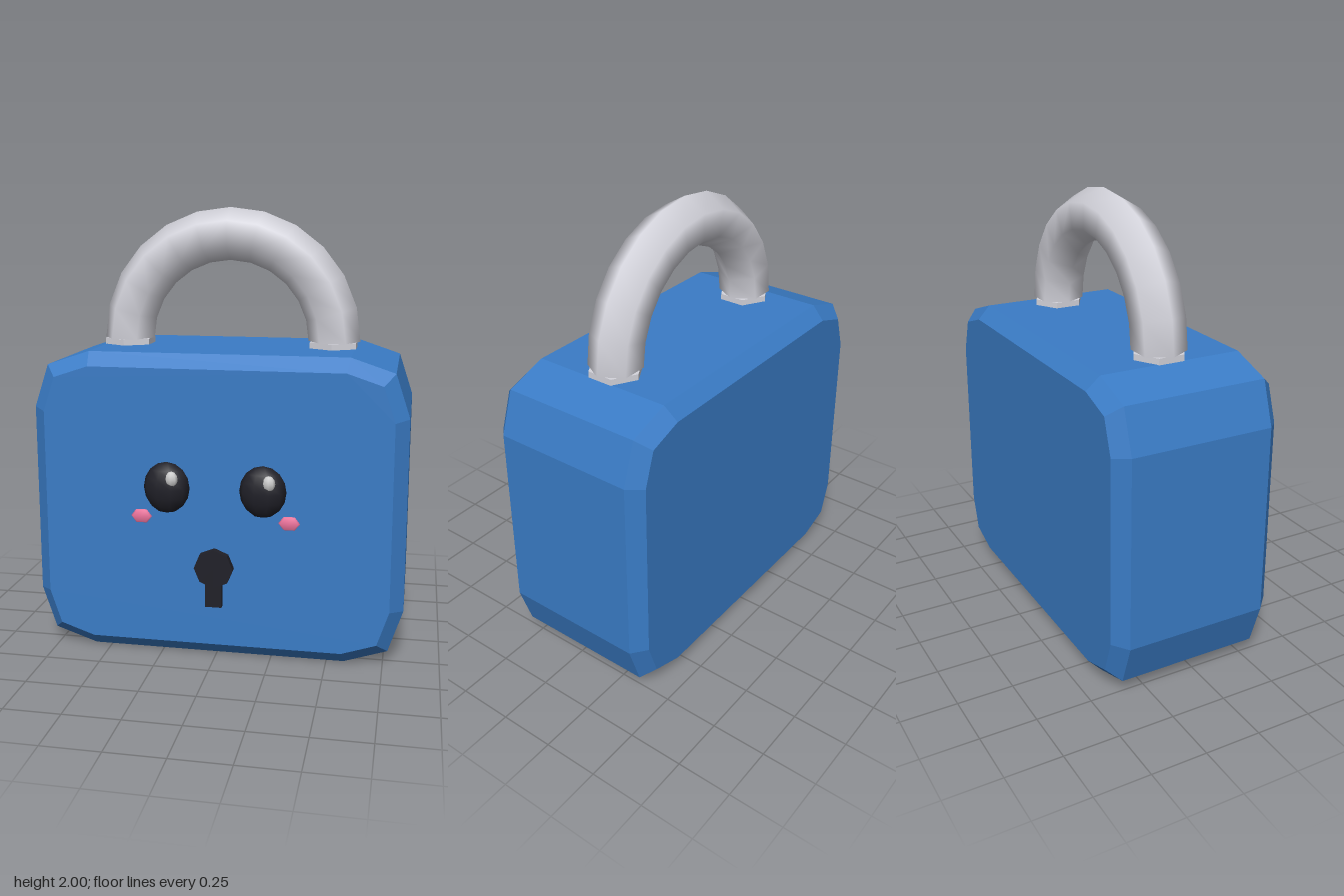
import * as THREE from 'three';

const mat = (color, flatShading = false) => new THREE.MeshStandardMaterial({ color, flatShading });

export function createModel() {
  const model = new THREE.Group();
  model.name = 'padlock';
  const blue = mat(0x3a7cc6, true);
  const metal = mat(0xd4d4dc);
  const collarMetal = mat(0xd4d4dc, true);
  const dark = mat(0x202028);
  const darkFlat = mat(0x202028, true);
  const white = mat(0xf4f4f4);
  const pink = mat(0xf0749e);

  const add = (name, geometry, material, x, y, z) => {
    const mesh = new THREE.Mesh(geometry, material);
    mesh.name = name;
    mesh.position.set(x, y, z);
    model.add(mesh);
    return mesh;
  };

  // Body: rounded outline with two-step corners and a single chamfer front and back
  const w = 0.775, b = 0.06, t = 1.315, r = 0.207;
  const outline = new THREE.Shape();
  outline.moveTo(-w + r, b);
  outline.lineTo(w - r, b);
  outline.quadraticCurveTo(w, b, w, b + r);
  outline.lineTo(w, t - r);
  outline.quadraticCurveTo(w, t, w - r, t);
  outline.lineTo(-w + r, t);
  outline.quadraticCurveTo(-w, t, -w, t - r);
  outline.lineTo(-w, b + r);
  outline.quadraticCurveTo(-w, b, -w + r, b);
  const body = new THREE.ExtrudeGeometry(outline, {
    depth: 0.655, curveSegments: 2,
    bevelEnabled: true, bevelSegments: 1, bevelSize: 0.06, bevelThickness: 0.06,
  });
  add('body', body, blue, 0, 0, -0.36);

  // Shackle: half ring with six-sided section
  const shackleZ = -0.033;
  add('shackle', new THREE.TorusGeometry(0.48, 0.118, 6, 12, Math.PI), metal, 0, 1.402, shackleZ);

  // Keyhole: round part and slot
  const hole = add('keyholeRound', new THREE.CylinderGeometry(0.088, 0.088, 0.06, 8), darkFlat, 0, 0.428, 0.357);
  hole.rotation.x = Math.PI / 2;
  add('keyholeSlot', new THREE.BoxGeometry(0.074, 0.13, 0.06), darkFlat, 0, 0.315, 0.3568);

  for (const [side, s] of [['left', 1], ['right', -1]]) {
    // Collars where the shackle enters the body
    add(side + 'Collar', new THREE.CylinderGeometry(0.12, 0.12, 0.07, 6), collarMetal, s * 0.478, 1.367, shackleZ);

    // Eyes with a highlight, both on the same side of the pupil
    add(side + 'Eye', new THREE.SphereGeometry(1, 10, 8), dark, s * 0.215, 0.785, 0.355)
      .scale.set(0.104, 0.116, 0.063);
    add(side + 'EyeHighlight', new THREE.SphereGeometry(1, 8, 6), white, s * 0.215 + 0.032, 0.833, 0.398)
      .scale.set(0.029, 0.036, 0.021);

    // Cheeks
    const cheek = new THREE.SphereGeometry(1, 6, 4).rotateX(Math.PI / 2);
    add(side + 'Cheek', cheek, pink, s * 0.332, 0.648, 0.348).scale.set(0.057, 0.042, 0.018);
  }
  return model;
}
